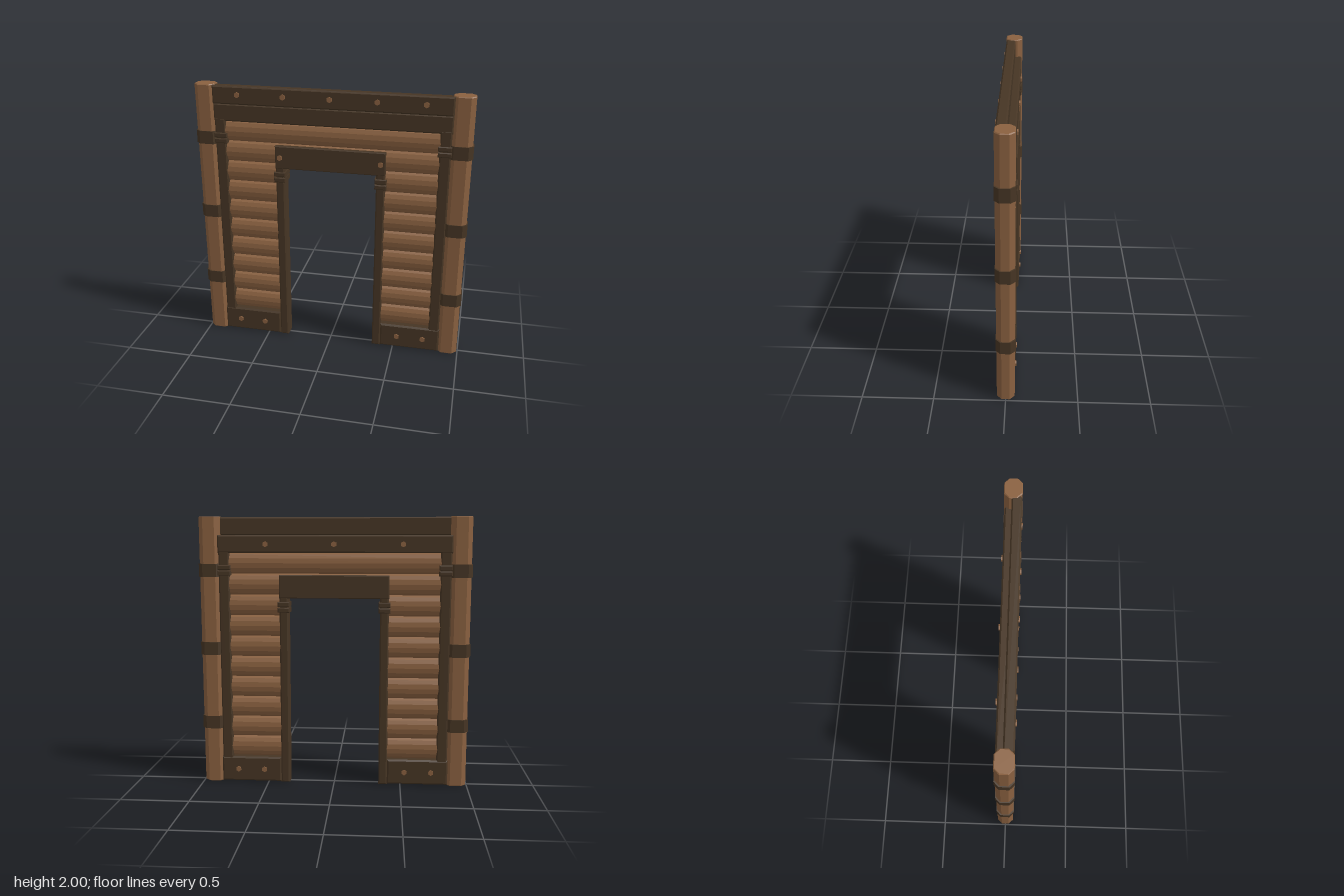
import * as THREE from 'three';

const wood = new THREE.MeshStandardMaterial({ color: 0x8a6140, flatShading: true });
wood.name = 'warm wood';
const dark = new THREE.MeshStandardMaterial({ color: 0x463524, flatShading: true });
dark.name = 'dark timber';

export function createModel() {
  const root = new THREE.Group();
  root.name = 'timberDoorway';

  const add = (name, geometry, material) => {
    const mesh = new THREE.Mesh(geometry, material);
    mesh.name = name;
    root.add(mesh);
    return mesh;
  };

  // Box between two corners with chamfered edges
  const beam = (name, x0, x1, y0, y1, z0, z1, c = 0.008) => {
    const s = new THREE.Shape();
    s.moveTo(x0 + c, y0 + c);
    s.lineTo(x1 - c, y0 + c);
    s.lineTo(x1 - c, y1 - c);
    s.lineTo(x0 + c, y1 - c);
    s.closePath();
    const g = new THREE.ExtrudeGeometry(s, {
      depth: z1 - z0 - 2 * c, bevelSize: c, bevelThickness: c, bevelSegments: 1,
    });
    g.translate(0, 0, z0 + c);
    return add(name, g, dark);
  };

  // Upright prism with an octagonal plan
  const octagon = (name, cx, w, d, cut, y0, y1, material, bevel) => {
    const a = w / 2 - bevel, b = d / 2 - bevel;
    const pts = [[a, b - cut], [a - cut, b], [cut - a, b], [-a, b - cut],
      [-a, cut - b], [cut - a, -b], [a - cut, -b], [a, cut - b]];
    const s = new THREE.Shape(pts.map(([x, y]) => new THREE.Vector2(x, y)));
    const g = new THREE.ExtrudeGeometry(s, {
      depth: y1 - y0 - 2 * bevel, bevelEnabled: bevel > 0,
      bevelSize: bevel, bevelThickness: bevel, bevelSegments: 1,
    });
    g.rotateX(-Math.PI / 2);
    g.translate(cx, y0 + bevel, 0);
    return add(name, g, material);
  };

  // Horizontal log with a faceted oval section
  const log = (x0, x1, y) => {
    const g = new THREE.CylinderGeometry(1, 1, x1 - x0, 14);
    g.rotateZ(Math.PI / 2);
    g.scale(1, 0.082, 0.05);
    g.translate((x0 + x1) / 2, y, 0);
    add('wallLog', g, wood);
  };

  // Hexagonal peg on the front (dir 1) or back (dir -1)
  const peg = (x, y, dir) => {
    const g = new THREE.CylinderGeometry(0.021, 0.021, 0.03, 6);
    g.rotateX(Math.PI / 2);
    g.translate(x, y, dir * 0.053);
    add('peg', g, wood);
  };

  // Log infill: side rows, then full-width rows above the opening
  const pitch = 0.154;
  for (let i = 0; i < 10; i++) {
    const y = 0.2 + pitch * (i + 0.5);
    if (i >= 8) {
      log(-0.79, 0.79, y);
    } else {
      log(-0.79, -0.38, y);
      log(0.38, 0.79, y);
    }
  }

  for (const s of [-1, 1]) {
    const side = (name, a, b, ...rest) =>
      beam(name, Math.min(s * a, s * b), Math.max(s * a, s * b), ...rest);

    // Outer post with three straps
    octagon('cornerPost', s * 0.916, 0.154, 0.124, 0.031, 0, 2, wood, 0.006);
    for (const y of [0.465, 1.03, 1.61]) {
      octagon('postStrap', s * 0.916, 0.168, 0.134, 0.033, y - 0.048, y + 0.048, dark, 0);
    }

    // Inner stile, door jamb and foot board
    side('wallStile', 0.77, 0.85, 0.17, 1.76, -0.054, 0.054, 0.01);
    side('doorJamb', 0.337, 0.402, 0, 1.42, -0.056, 0.056, 0.01);
    side('footBoard', 0.4, 0.855, 0.005, 0.195, -0.058, 0.058, 0.012);

    // Paired bindings
    for (const y of [1.59, 1.632]) {
      side('stileBinding', 0.76, 0.856, y - 0.018, y + 0.018, -0.062, 0.062, 0.006);
    }
    for (const y of [1.32, 1.362]) {
      side('jambBinding', 0.327, 0.414, y - 0.018, y + 0.018, -0.064, 0.064, 0.006);
    }

    // Pegs on the foot boards and the lintel
    for (const x of [0.53, 0.73]) {
      peg(s * x, 0.1, 1);
      peg(s * x, 0.1, -1);
    }
    peg(s * 0.368, 1.49, 1);
  }

  // Lintel and the two stepped top beams
  beam('doorLintel', -0.403, 0.403, 1.407, 1.577, -0.06, 0.06, 0.006);
  beam('lowerTopBeam', -0.855, 0.855, 1.737, 1.865, -0.058, 0.052, 0.01);
  beam('upperTopBeam', -0.855, 0.855, 1.863, 1.995, -0.01, 0.06, 0.01);

  for (let i = -2; i <= 2; i++) peg(i * 0.334, 1.935, 1);
  for (let i = -1; i <= 1; i++) peg(i * 0.5, 1.8, -1);

  return root;
}
